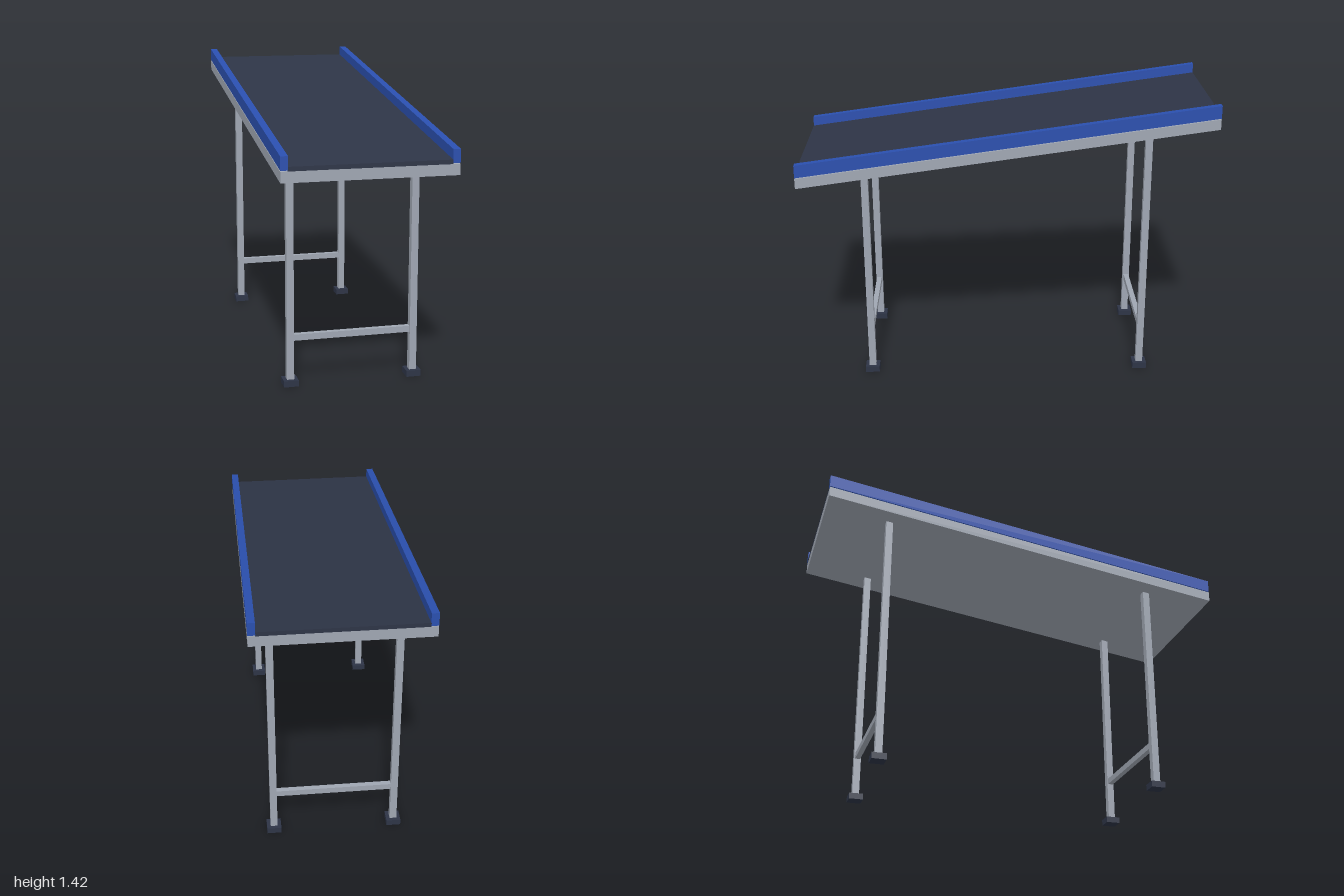
import * as THREE from 'three';

const SLOPE = 0.137; // rise per unit towards the back

export function createModel() {
  const model = new THREE.Group();
  model.name = 'inclinedConveyor';

  const material = (name, color) => {
    const m = new THREE.MeshStandardMaterial({ color });
    m.name = name;
    return m;
  };
  const steel = material('grey steel', 0x9fa6b2);
  const rubber = material('dark rubber', 0x2d3446);
  const paint = material('blue paint', 0x2a4fae);

  const add = (name, geometry, mat, x, y, z, parent = model) => {
    const mesh = new THREE.Mesh(geometry, mat);
    mesh.name = name;
    mesh.position.set(x, y, z);
    parent.add(mesh);
    return mesh;
  };
  const box = (w, h, d) => new THREE.BoxGeometry(w, h, d);

  // Full-length slab sheared along the slope, keeping its ends vertical;
  // bottom and top are the heights at the front end
  const slab = (name, mat, x, width, bottom, top) => {
    const g = box(width, top - bottom, 2);
    const p = g.attributes.position;
    for (let i = 0; i < p.count; i++) p.setY(i, p.getY(i) + (1 - p.getZ(i)) * SLOPE);
    g.computeVertexNormals();
    add(name, g, mat, x, (bottom + top) / 2, 0);
  };

  // Bed, belt and side rails
  slab('bed', steel, 0, 0.8, 1.027, 1.077);
  slab('belt', rubber, 0, 0.735, 1.077, 1.097);
  slab('leftRail', paint, 0.383, 0.034, 1.081, 1.143);
  slab('rightRail', paint, -0.383, 0.034, 1.081, 1.143);

  // Leg frames: two legs with feet and a cross bar
  for (const [name, z] of [['frontLegFrame', 0.682], ['backLegFrame', -0.682]]) {
    const frame = new THREE.Group();
    frame.name = name;
    frame.position.z = z;
    model.add(frame);

    const bottom = 0.02;
    const top = 1.037 + (1 - z) * SLOPE; // just inside the bed
    for (const [side, s] of [['left', 1], ['right', -1]]) {
      add(side + 'Leg', box(0.034, top - bottom, 0.034), steel, s * 0.297, (top + bottom) / 2, 0, frame);
      add(side + 'Foot', box(0.07, 0.03, 0.07), rubber, s * 0.297, 0.015, 0, frame);
    }
    add('crossBar', box(0.57, 0.03, 0.026), steel, 0, 0.232, 0, frame);
  }

  return model;
}
